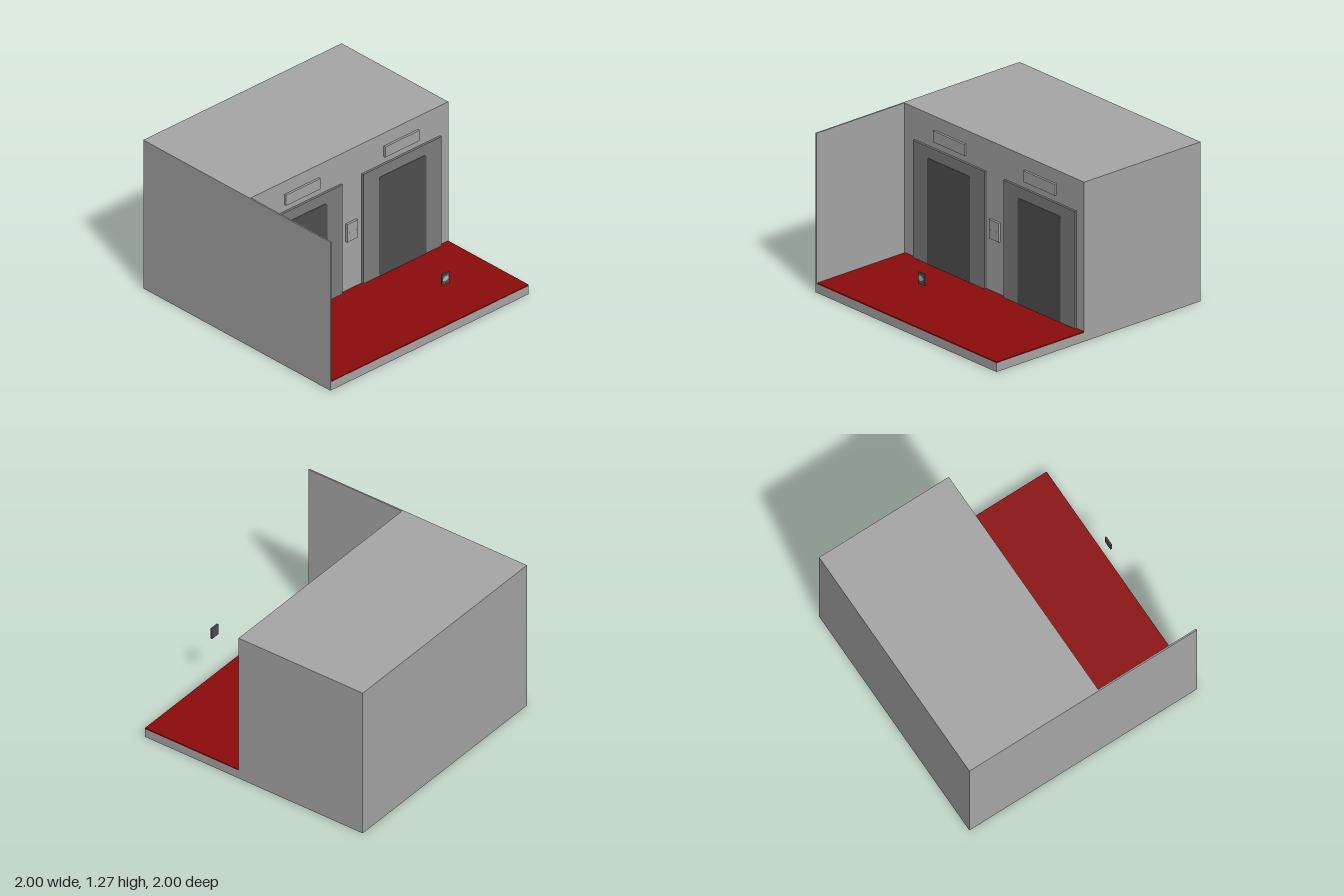
import * as THREE from 'three';

function material(name, color) {
  const m = new THREE.MeshStandardMaterial({ color });
  m.name = name;
  return m;
}

export function createModel() {
  const group = new THREE.Group();
  const wall = material('wall grey', 0xa6a6a6);
  const frameGrey = material('frame grey', 0x7d7d7d);
  const doorGrey = material('door dark grey', 0x505050);
  const carpetRed = material('carpet red', 0x8b0c0c);
  const buttonGrey = material('button light grey', 0xb4b4b4);

  const add = (name, geometry, mat) => {
    const mesh = new THREE.Mesh(geometry, mat);
    mesh.name = name;
    group.add(mesh);
    return mesh;
  };
  // Box given by its minimum and maximum corners
  const box = (name, mat, x0, x1, y0, y1, z0, z1) => {
    const mesh = add(name, new THREE.BoxGeometry(x1 - x0, y1 - y0, z1 - z0), mat);
    mesh.position.set((x0 + x1) / 2, (y0 + y1) / 2, (z0 + z1) / 2);
    return mesh;
  };

  const H = 1.27, FLOOR = 0.07, CARPET = 0.08, FACE = 0.14, RAISED = 0.158;

  // Building shell: one L-shaped profile swept along x
  const profile = new THREE.Shape([
    [1, 0], [1, H], [-FACE, H], [-FACE, FLOOR], [-1, FLOOR], [-1, 0],
  ].map(([x, y]) => new THREE.Vector2(x, y)));
  const shell = new THREE.ExtrudeGeometry(profile, { depth: 1.988, bevelEnabled: false });
  shell.rotateY(Math.PI / 2);
  shell.translate(-0.988, 0, 0);
  add('buildingShell', shell, wall);
  box('sideWall', wall, -1, -0.988, 0, H, -1, 1);
  box('carpet', carpetRed, -0.98, 1, FLOOR, CARPET, FACE, 1);

  // Two lift bays
  for (const [side, x] of [['right', -0.478], ['left', 0.522]]) {
    box(side + 'DoorFrame', frameGrey, x - 0.395, x + 0.395, CARPET, 1.015, FACE, RAISED);
    box(side + 'IndicatorPanel', wall, x - 0.173, x + 0.173, 1.07, 1.16, FACE, RAISED);

    // Door panel with clipped top corners
    const w = 0.238, top = 0.925, c = 0.014;
    const door = new THREE.Shape([
      [-w, CARPET], [w, CARPET], [w, top - c], [w - c, top], [-w + c, top], [-w, top - c],
    ].map(([px, py]) => new THREE.Vector2(px, py)));
    const panel = new THREE.ExtrudeGeometry(door, { depth: 0.003, bevelEnabled: false });
    add(side + 'Door', panel, doorGrey).position.set(x, 0, RAISED);
  }

  // Call panel between the doors, with two small slots
  box('callPanel', wall, -0.034, 0.074, 0.5, 0.652, FACE, RAISED);
  for (const x of [-0.012, 0.054]) {
    box('callPanelSlot', doorGrey, x - 0.002, x + 0.002, 0.565, 0.585, RAISED, RAISED + 0.001);
  }

  // Small call button box at the front edge
  box('buttonBox', doorGrey, 0.128, 0.203, 0.43, 0.522, 0.985, 0.998);
  const button = add('button', new THREE.CylinderGeometry(1, 1, 0.002, 12), buttonGrey);
  button.geometry.rotateX(Math.PI / 2);
  button.scale.set(0.029, 0.022, 1);
  button.position.set(0.163, 0.48, 0.999);

  return group;
}
